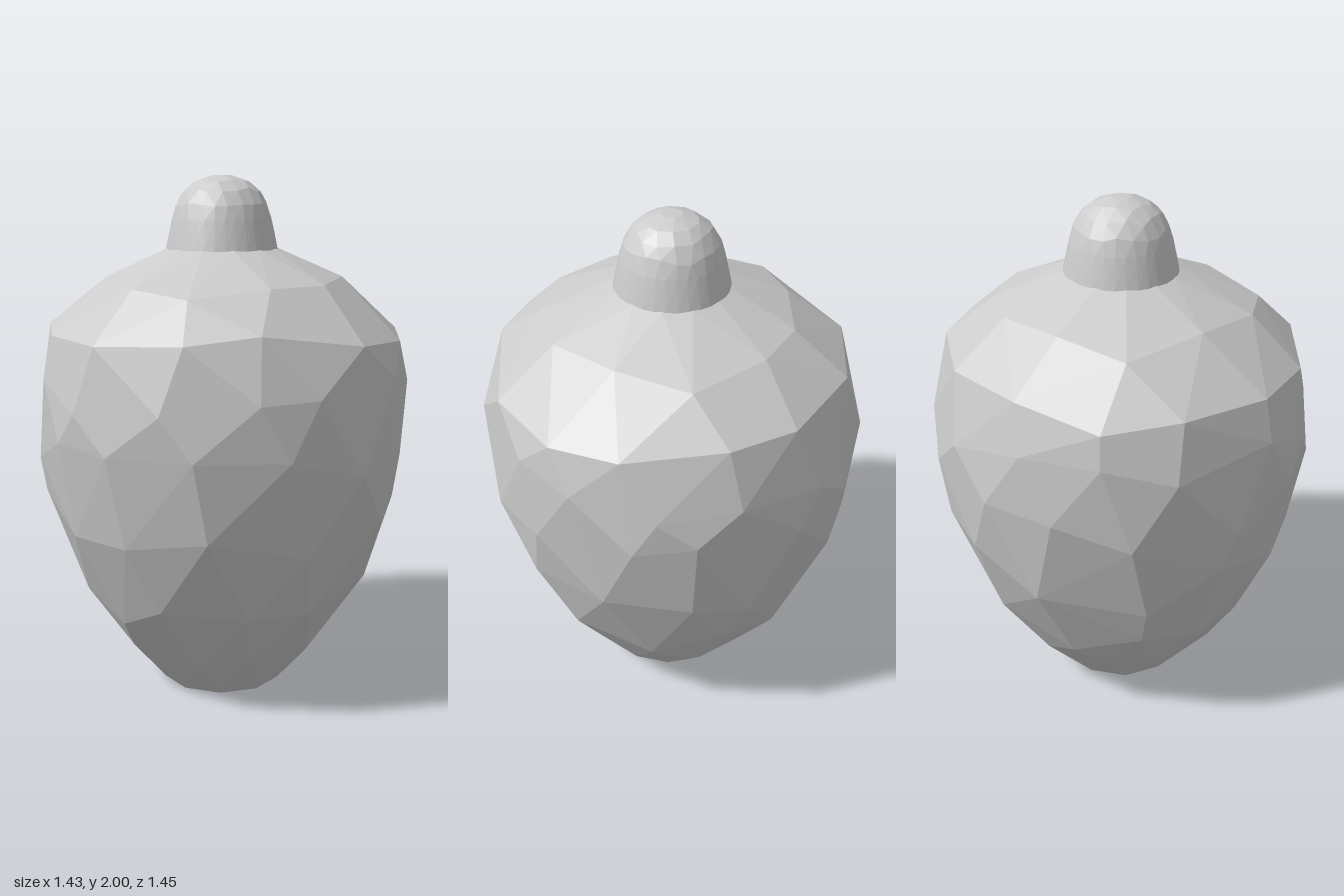
import * as THREE from 'three';
import { ConvexGeometry } from 'three/addons/geometries/ConvexGeometry.js';

// Small seeded generator, returns -1..1
function seeded(seed) {
  let s = seed;
  return () => {
    s = (s * 16807) % 2147483647;
    return (s / 2147483647) * 2 - 1;
  };
}

// Faceted hull around staggered rings. Each ring: [radius, y, sides, jitter]
function facetedHull(rings, seed) {
  const rand = seeded(seed);
  const profile = new THREE.SplineCurve(rings.map(([r, y]) => new THREE.Vector2(r, y)));
  const points = [];
  rings.forEach(([, , sides, jitter], i) => {
    for (let k = 0; k < sides; k++) {
      // Slide each corner along the profile and around the axis
      const t = (i + rand() * jitter) / (rings.length - 1);
      const p = profile.getPoint(THREE.MathUtils.clamp(t, 0, 1));
      const a = ((k + (i % 2) * 0.5 + rand() * jitter * 0.6) / sides) * Math.PI * 2;
      points.push(new THREE.Vector3(p.x * Math.cos(a), p.y, p.x * Math.sin(a)));
    }
  });
  return new ConvexGeometry(points);
}

export function createModel() {
  const group = new THREE.Group();
  const material = new THREE.MeshStandardMaterial({ color: 0xcccccc, flatShading: true });
  const add = (name, geometry) => {
    const mesh = new THREE.Mesh(geometry, material);
    mesh.name = name;
    group.add(mesh);
  };

  // Egg-shaped faceted body with a flat foot and a flat top
  add('body', facetedHull([
    [0.24, 0, 10, 0],
    [0.39, 0.17, 10, 0.25],
    [0.56, 0.42, 12, 0.35],
    [0.67, 0.70, 13, 0.35],
    [0.722, 1.00, 14, 0.35],
    [0.722, 1.22, 14, 0.3],
    [0.675, 1.44, 13, 0.25],
    [0.50, 1.60, 11, 0.2],
    [0.21, 1.73, 12, 0],
  ], 4217));

  // Domed knob: fine even sides below, irregular facets on the dome
  add('knob', facetedHull([
    [0.215, 1.725, 32, 0],
    [0.202, 1.785, 32, 0],
    [0.190, 1.84, 32, 0],
    [0.174, 1.895, 20, 0.2],
    [0.146, 1.942, 16, 0.3],
    [0.100, 1.98, 12, 0.25],
    [0.040, 2.0, 7, 0],
  ], 977));

  return group;
}
